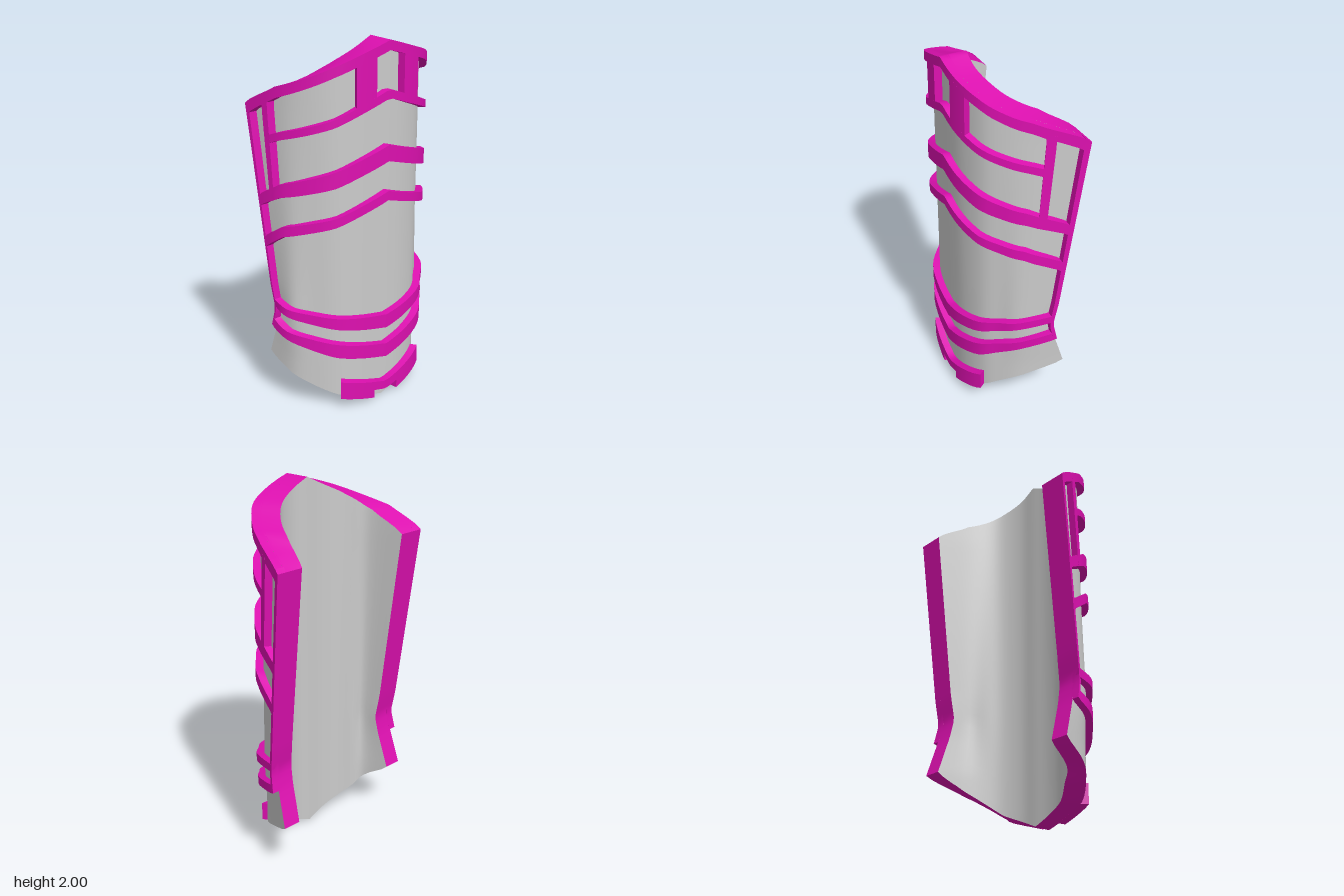
import * as THREE from 'three';
import { mergeGeometries } from 'three/addons/utils/BufferGeometryUtils.js';

const grey = new THREE.MeshStandardMaterial({ color: 0xcccccc });
const magenta = new THREE.MeshStandardMaterial({ color: 0xdd10b0 });
const lerp = THREE.MathUtils.lerp;
const SHELL = 0.72; // depth of the grey face: 0 = inside, 1 = face of the raised trim

// piecewise linear lookup through [key, value] pairs
function table(pairs) {
  return (k) => {
    if (k <= pairs[0][0]) return pairs[0][1];
    for (let i = 1; i < pairs.length; i++) {
      const [k0, v0] = pairs[i - 1], [k1, v1] = pairs[i];
      if (k <= k1) return lerp(v0, v1, (k - k0) / (k1 - k0));
    }
    return pairs[pairs.length - 1][1];
  };
}
// heights given at the centre, the front corner, the flank and the rear edge
const heights = (a, b, c, d) => {
  const f = table([[0, a], [2, b], [4, c], [5, d]]);
  return (u) => f(Math.abs(u));
};

// U-shaped section, from the model's right rear edge (u = -5) to its left (u = 5)
const outerR = [[-0.485, 0], [-0.40, 0.13], [-0.29, 0.215], [-0.15, 0.25]];
const outerL = [[0.15, 0.25], [0.28, 0.205], [0.36, 0.13], [0.44, 0]];
const innerR = [[-0.34, -0.01], [-0.28, 0.05], [-0.20, 0.10], [-0.10, 0.12]];
const innerL = [[0.10, 0.12], [0.20, 0.085], [0.27, 0.02], [0.33, -0.09]];
const edgeX = table([[0.3, 0.52], [0.5, 0.505], [0.6, 0.495], [0.73, 0.505], [1.69, 0.54]]);
const edgeInX = table([[0.3, 0.38], [0.6, 0.36], [0.75, 0.37], [1.69, 0.39]]);
const edgeZ = table([[0.3, -0.21], [0.5, -0.15], [0.6, -0.13], [0.73, -0.15], [1.69, -0.26]]);

function section(right, mid, left, x, z) {
  const shift = 0.35 * (z + 0.26);
  const pts = [[-x, z + 0.08], ...right, mid, ...left, [x, z]].map((p) => new THREE.Vector2(...p));
  pts[1].y += shift;
  pts[9].y += shift;
  return new THREE.SplineCurve(pts);
}
function surface(u, y, d) {
  const t = (u + 5) / 10, z = edgeZ(y);
  const o = section(outerR, [0.01, 0.26], outerL, edgeX(y), z).getPoint(t);
  const i = section(innerR, [0, 0.12], innerL, edgeInX(y), z).getPoint(t);
  return [lerp(i.x, o.x, d), y, lerp(i.y, o.y, d)];
}

// grid of faces over a, b in 0..1
function panel(fn, na, nb) {
  const pos = [], index = [];
  for (let j = 0; j <= nb; j++) for (let i = 0; i <= na; i++) pos.push(...fn(i / na, j / nb));
  for (let j = 0; j < nb; j++) {
    for (let i = 0; i < na; i++) {
      const p = j * (na + 1) + i, q = p + na + 1;
      index.push(p, p + 1, q + 1, p, q + 1, q);
    }
  }
  const g = new THREE.BufferGeometry();
  g.setAttribute('position', new THREE.Float32BufferAttribute(pos, 3));
  g.setIndex(index);
  g.computeVertexNormals();
  return g;
}

// curved slab between two height lines and two depths, split into walls and caps
function slab(u0, u1, lo, hi, d0, d1, nv = 1) {
  const n = Math.max(1, Math.ceil((u1 - u0) * 4));
  const at = (s, v, d) => {
    const u = lerp(u0, u1, s);
    return surface(u, lerp(lo(u), hi(u), v), d);
  };
  return {
    walls: [
      panel((a, b) => at(a, b, d1), n, nv),
      panel((a, b) => at(1 - a, b, d0), n, nv),
    ],
    caps: [
      panel((a, b) => at(a, 1, lerp(d1, d0, b)), n, 1),
      panel((a, b) => at(a, 0, lerp(d0, d1, b)), n, 1),
      panel((a, b) => at(1, b, lerp(d1, d0, a)), 1, nv),
      panel((a, b) => at(0, b, lerp(d0, d1, a)), 1, nv),
    ],
  };
}

export function createModel() {
  const model = new THREE.Group();
  const add = (name, parts, material) => {
    const mesh = new THREE.Mesh(mergeGeometries(parts), material);
    mesh.name = name;
    model.add(mesh);
  };
  const trim = (name, u0, u1, lo, hi, nv) => {
    const s = slab(u0, u1, lo, hi, SHELL - 0.06, 1, nv);
    add(name, [...s.walls, ...s.caps], magenta);
  };

  const top = heights(2.0, 1.905, 1.80, 1.69);
  const bottom = heights(0, 0.085, 0.21, 0.30);

  // padded shell with coloured edges
  const shell = slab(-5, 5, bottom, top, 0, SHELL, 40);
  add('shell', shell.walls, grey);
  add('shellEdge', shell.caps, magenta);

  // raised cross bars
  trim('topRim', -5, 5, heights(1.95, 1.855, 1.745, 1.63), top);
  trim('upperBar', -4.3, 4.3, heights(1.715, 1.61, 1.535, 1.45), heights(1.76, 1.65, 1.575, 1.5));
  trim('kneeBar', -5, 5, heights(1.39, 1.30, 1.24, 1.16), heights(1.475, 1.385, 1.31, 1.215));
  trim('middleBar', -5, 5, heights(1.18, 1.09, 1.03, 0.935), heights(1.23, 1.14, 1.085, 0.99));
  trim('lowerBar', -5, 5, heights(0.44, 0.51, 0.58, 0.61), heights(0.52, 0.575, 0.625, 0.655));
  trim('ankleBar', -5, 5, heights(0.26, 0.34, 0.44, 0.495), heights(0.34, 0.42, 0.49, 0.54));

  // posts under the top rim
  const postLow = heights(1.73, 1.63, 1.55, 1.45);
  const postHigh = heights(1.97, 1.87, 1.77, 1.65);
  trim('postLeft', 0.66, 1.45, postLow, postHigh);
  trim('postRight', -1.22, -0.5, postLow, postHigh);

  // rear rails and the flank bars in front of them
  for (const [side, s] of [['Left', 1], ['Right', -1]]) {
    const pair = (a, b) => (s > 0 ? [a, b] : [-b, -a]);
    trim('rearRail' + side, ...pair(4.84, 5), () => 0.5, top, 30);
    trim('flankBar' + side, ...pair(4.25, 4.4), () => 1.22, heights(1.97, 1.87, 1.77, 1.66), 8);
  }

  // toe plate with a notch at the centre
  const toeTop = heights(0.10, 0.19, 0.28, 0.3);
  trim('toePlateCentre', -0.5, 0.55, heights(0.05, 0.13, 0.2, 0.2), toeTop);
  trim('toePlateLeft', 0.55, 2.1, bottom, toeTop);
  trim('toePlateRight', -1.86, -0.5, bottom, toeTop);

  return model;
}
